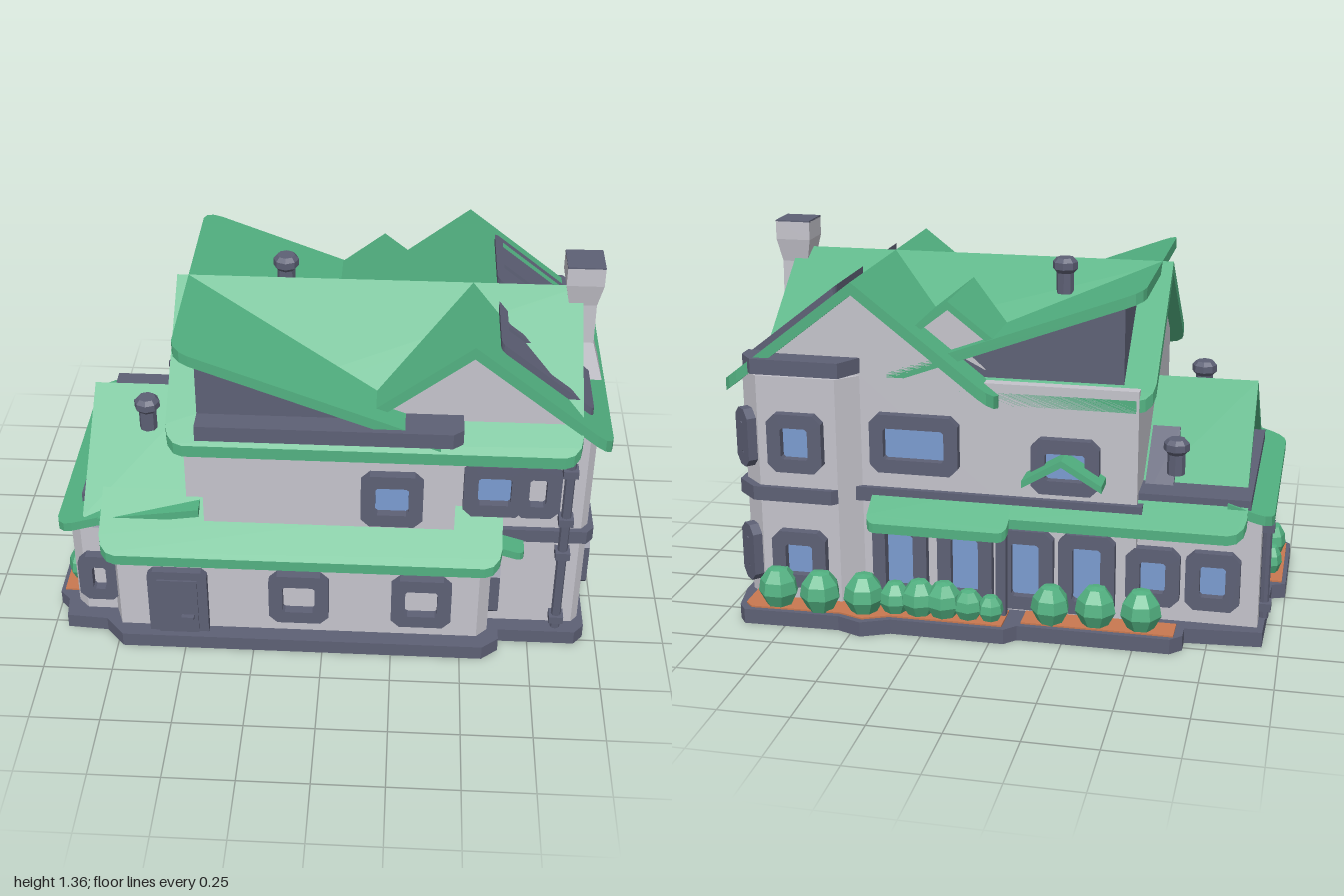
import * as THREE from 'three';

const mat = (name, color) => Object.assign(new THREE.MeshStandardMaterial({ color }), { name });

export function createModel() {
  const house = new THREE.Group();
  house.name = 'house';
  const green = mat('roof green', 0x52b181);
  const slate = mat('slate trim', 0x5d6075);
  const grey = mat('wall grey', 0xc4c3cb);
  const soil = mat('soil', 0xc87850);
  const glass = mat('glass', 0x7a9bd0);

  const add = (name, geo, m, x = 0, y = 0, z = 0, ry = 0) => {
    const g = geo.index ? geo.toNonIndexed() : geo;
    g.computeVertexNormals();
    const mesh = new THREE.Mesh(g, m);
    mesh.name = name;
    mesh.position.set(x, y, z);
    mesh.rotation.y = ry;
    house.add(mesh);
    return mesh;
  };
  const box = (name, m, x0, x1, y0, y1, z0, z1) =>
    add(name, new THREE.BoxGeometry(x1 - x0, y1 - y0, z1 - z0), m, (x0 + x1) / 2, (y0 + y1) / 2, (z0 + z1) / 2);
  const poly = (pts) => new THREE.Shape(pts.map(([a, b]) => new THREE.Vector2(a, b)));
  const extrude = (shape, depth) => new THREE.ExtrudeGeometry(shape, { depth, bevelEnabled: false });

  // Plan outline [x, z] raised between two heights
  const prism = (name, m, pts, y0, y1) =>
    add(name, extrude(poly(pts.map(([x, z]) => [x, -z])), y1 - y0).rotateX(-Math.PI / 2), m, 0, y0);

  // Rectangle whose corners (x0z0, x1z0, x1z1, x0z1) are cut by rounding radii
  const rect = (x0, x1, z0, z1, r = [0, 0, 0, 0]) => {
    const pts = [];
    [[x0, z0, 1, 1], [x1, z0, -1, 1], [x1, z1, -1, -1], [x0, z1, 1, -1]].forEach(([x, z, sx, sz], i) => {
      const n = r[i] ? 3 : 0;
      for (let k = 0; k <= n; k++) {
        const t = n ? (k / n) * Math.PI / 2 : 0;
        const a = i % 2 ? Math.sin(t) : Math.cos(t), b = i % 2 ? Math.cos(t) : Math.sin(t);
        // arc runs in outline order for both kinds of corner
        pts.push([x + sx * r[i] * (1 - (i % 2 ? a : 1 - b + 0) * 1) * (i % 2 ? 1 : 0)
          + (i % 2 ? 0 : sx * r[i] * (1 - Math.cos(t))), z + sz * r[i] * (i % 2 ? 1 - b : 1 - Math.sin(t))]);
      }
    });
    return pts;
  };

  // Sloped slab: plan outline sheared so its top follows y = f(x, z)
  const slab = (name, m, pts, f, t = 0.045, hole) => {
    const shape = poly(pts.map(([x, z]) => [x, -z]));
    if (hole) shape.holes.push(poly(hole.map(([x, z]) => [x, -z])));
    const g = extrude(shape, t).rotateX(-Math.PI / 2);
    const p = g.attributes.position;
    for (let i = 0; i < p.count; i++) p.setY(i, p.getY(i) - t + f(p.getX(i), p.getZ(i)));
    return add(name, g, m);
  };
  // Vertical profiles: frontal uses [x, y] along z, sideways uses [z, y] along x
  const frontal = (name, m, pts, z0, z1) => add(name, extrude(poly(pts), z1 - z0), m, 0, 0, z0);
  const sideways = (name, m, pts, x0, x1) =>
    add(name, extrude(poly(pts.map(([z, y]) => [-z, y])), x1 - x0).rotateY(Math.PI / 2), m, x0);

  // Base and planters
  prism('base', slate, [[-1, 0], [-1, 0.4], [-0.96, 0.44], [-0.95, 0.53], [-0.8, 0.54], [-0.73, 0.62], [0.58, 0.62],
    [0.64, 0.57], [0.64, 0.52], [0.92, 0.52], [0.955, 0.48], [0.955, -0.45], [0.93, -0.58], [0.9, -0.62], [0.55, -0.61],
    [0.46, -0.645], [0.36, -0.6], [-0.05, -0.6], [-0.09, -0.56], [-0.63, -0.56], [-0.67, -0.52], [-0.67, -0.46], [-0.94, -0.44], [-0.95, -0.02]], 0, 0.055);
  prism('soilBackA', soil, rect(-0.64, -0.1, -0.54, -0.44), 0.055, 0.061);
  prism('soilBackB', soil, [[-0.04, -0.45], [-0.04, -0.58], [0.37, -0.58], [0.46, -0.62], [0.55, -0.59], [0.88, -0.6], [0.91, -0.57], [0.91, -0.45]], 0.055, 0.061);
  prism('soilLeft', soil, rect(-0.985, -0.92, 0.01, 0.39), 0.055, 0.061);

  // Walls
  const main = [[-0.49, -0.43], [0.5, -0.43], [0.57, -0.5], [0.86, -0.5], [0.935, -0.43], [0.935, 0.43], [0.91, 0.46], [-0.49, 0.46]];
  prism('mainWalls', grey, main, 0.05, 0.9);
  prism('leftWing', grey, [[-0.92, -0.4], [-0.49, -0.4], [-0.49, 0.48], [-0.88, 0.48], [-0.92, 0.44]], 0.05, 0.46);
  prism('frontWing', grey, [[-0.8, 0.4], [-0.74, 0.56], [0.56, 0.56], [0.6, 0.52], [0.6, 0.4]], 0.05, 0.47);
  prism('upperFrontWall', grey, rect(-0.42, 0.46, 0.4, 0.53), 0.45, 0.92);
  const grow = (pts, k) => pts.map(([x, z]) => [x + Math.sign(x) * k, z + Math.sign(z) * k]);
  prism('floorBand', slate, grow(main, 0.02), 0.44, 0.492);
  prism('frontFloorBand', slate, rect(-0.43, 0.47, 0.4, 0.55), 0.46, 0.495);
  prism('frontCornice', slate, [[-0.43, 0.4], [-0.43, 0.58], [0.44, 0.58], [0.475, 0.55], [0.475, 0.4]], 0.905, 0.962);
  prism('bayCornice', slate, [[0.48, -0.4], [0.55, -0.52], [0.87, -0.52], [0.92, -0.46], [0.92, -0.4]], 0.91, 0.965);

  // Main roofs: cross gable, long gable and a lean-to
  const M = 0.78, R = 0.06;
  const cross = (x, z) => 1.25 - M * Math.abs(z - 0.06);
  const gable = (x) => 1.25 - M * Math.abs(x - 0.5);
  const shed = (x) => 1.25 - 0.37 * (x + 0.5);
  slab('crossRoofBack', green, rect(-0.54, 0.88, -0.43, 0.06, [R, R, 0, 0]), cross);
  slab('crossRoofFront', green, rect(-0.54, 0.88, 0.06, 0.555, [0, 0, R, R]), cross);
  slab('gableRoofRight', green, rect(0.5, 0.99, -0.5, 0.49, [0, R, R, 0]), gable);
  slab('gableRoofLeft', green, rect(0, 0.5, -0.5, 0.49, [R, 0, 0, R]), gable);
  slab('leanToRoof', green, rect(-0.5, 0.4, -0.43, 0.56, [R, 0, 0, R]), shed, 0.04);
  frontal('leanToWall', slate, [[-0.43, 0.9], [0.31, 0.9], [-0.43, 1.19]], -0.38, 0.5);
  frontal('gableWall', grey, [[0.09, 0.89], [0.91, 0.89], [0.5, 1.21]], -0.43, 0.46);
  sideways('crossGableWall', grey, [[-0.35, 0.89], [0.47, 0.89], [0.06, 1.21]], -0.49, 0.85);

  // Rear dormer
  const dormer = (x) => 1.18 - M * Math.abs(x - 0.18);
  slab('dormerLeft', green, rect(0.02, 0.18, -0.42, 0), dormer, 0.03);
  slab('dormerRight', green, rect(0.18, 0.32, -0.42, 0), dormer, 0.03);
  frontal('dormerWall', grey, [[0.04, 0.9], [0.32, 0.9], [0.32, 1.05], [0.18, 1.155], [0.04, 1.045]], -0.38, -0.05);

  // Skylights on the right slope
  for (const c of [-0.22, 0.22]) {
    slab('skylightFrame', slate, rect(0.59, 0.92, c - 0.17, c + 0.17, [0.02, 0.02, 0.02, 0.02]), (x) => gable(x) + 0.03, 0.03,
      rect(0.62, 0.89, c - 0.14, c + 0.14));
    slab('skylightPane', slate, rect(0.61, 0.9, c - 0.15, c + 0.15), (x) => gable(x) + 0.008, 0.008);
    slab('skylightBar', slate, rect(0.61, 0.9, c - 0.012, c + 0.012), (x) => gable(x) + 0.022, 0.02);
  }

  // Left wing roof with dark surround
  const wing = (x, z) => 0.81 - M * Math.abs(z - 0.1);
  slab('wingRoofBack', green, rect(-0.86, -0.45, -0.36, 0.1), wing, 0.035);
  slab('wingRoofFront', green, rect(-0.86, -0.45, 0.1, 0.5), wing, 0.035);
  sideways('wingGable', slate, [[-0.3, 0.45], [0.5, 0.45], [0.1, 0.78]], -0.83, -0.46);
  box('wingParapet', slate, -0.88, -0.49, 0.44, 0.525, -0.4, 0.4);
  slab('wingSkylight', slate, rect(-0.6, -0.5, -0.38, -0.1), (x, z) => wing(x, z) + 0.025, 0.03);

  // Eaves above the ground floor
  slab('frontEave', green, rect(-0.79, 0.63, 0.44, 0.64, [0, 0, R, R]), (x, z) => 0.545 - 0.75 * (z - 0.5), 0.04);
  slab('frontEaveReturn', green, rect(0.56, 0.71, 0.42, 0.56, [0, 0, 0.03, 0]), (x) => 0.49 - 0.3 * (x - 0.56), 0.03);
  slab('leftEave', green, rect(-0.96, -0.8, -0.41, 0.52, [R, 0, 0, R]), (x) => 0.465 + 0.3 * (x + 0.96), 0.035);
  slab('leftEaveFront', green, rect(-0.8, -0.44, 0.42, 0.53), (x) => 0.515 + 0.15 * (x + 0.8), 0.03);
  const backEave = (x, z) => 0.5 + 0.7 * (z + 0.4);
  slab('backEaveLeft', green, rect(-0.87, -0.05, -0.5, -0.38, [R, 0, 0, 0]), backEave, 0.035);
  slab('backEaveRight', green, rect(-0.05, 0.46, -0.55, -0.38, [0.03, 0.03, 0, 0]), backEave, 0.035);
  const canopy = (x) => 0.67 - 0.6 * Math.abs(x + 0.24);
  slab('canopyLeft', green, rect(-0.38, -0.24, -0.53, -0.42), canopy, 0.025);
  slab('canopyRight', green, rect(-0.24, -0.1, -0.53, -0.42), canopy, 0.025);

  // Octagonal window frames with thin panes
  const oct = (w, h, c) => [[-w + c, -h], [w - c, -h], [w, -h + c], [w, h - c], [w - c, h], [-w + c, h], [-w, h - c], [-w, -h + c]];
  const win = (x, y, z, ry, w = 0.215, h = 0.215, pane = glass) => {
    const s = poly(oct(w / 2, h / 2, 0.03));
    s.holes.push(poly(oct(w / 2 - 0.05, h / 2 - 0.05, 0.008)));
    add('windowFrame', extrude(s, 0.035), slate, x, y, z, ry);
    if (pane !== grey) add('windowPane', new THREE.BoxGeometry(w - 0.09, h - 0.09, 0.008), pane, x, y, z, ry);
  };
  const B = Math.PI;
  win(-0.085, 0.225, 0.56, 0, 0.215, 0.215, grey);
  win(0.355, 0.225, 0.56, 0, 0.215, 0.215, grey);
  win(0.6, 0.225, 0.475, B / 2, 0.09, 0.215, grey);
  win(-0.82, 0.225, 0.48, 0, 0.15, 0.2, grey);
  win(0.24, 0.66, 0.53, 0);
  win(0.595, 0.665, 0.46, 0);
  win(0.745, 0.665, 0.46, 0, 0.16, 0.215, grey);
  win(0.935, 0.22, 0.22, B / 2);
  for (const y of [0.225, 0.665]) {
    win(0.715, y, -0.5, B, 0.2);
    win(0.9, y, -0.465, B * 0.75, 0.1, 0.215, grey);
  }
  win(0.3, 0.665, -0.43, B, 0.32);
  win(-0.24, 0.62, -0.43, B, 0.24, 0.2);
  for (const x of [-0.76, -0.55]) win(x, 0.225, -0.4, B, 0.19);
  for (const x of [-0.32, -0.1, 0.12, 0.36]) win(x, 0.225, -0.43, B, 0.2, 0.3);
  for (const x of [-0.02, 0.42]) box('porchPost', slate, x - 0.018, x + 0.018, 0.05, 0.43, -0.5, -0.465);

  // Front door
  frontal('door', slate, [[-0.63, 0.05], [-0.415, 0.05], [-0.415, 0.31], [-0.435, 0.33], [-0.61, 0.33], [-0.63, 0.31]], 0.55, 0.59);
  frontal('doorPanel', slate, [[-0.595, 0.055], [-0.45, 0.055], [-0.45, 0.295], [-0.595, 0.295]], 0.59, 0.597);
  box('doorHandle', slate, -0.51, -0.465, 0.125, 0.14, 0.597, 0.615);

  // Downpipes and brackets
  for (const [x, z, top] of [[0.85, 0.485, 0.86], [-0.935, -0.3, 0.45]]) {
    add('downpipe', new THREE.CylinderGeometry(0.018, 0.018, top - 0.05, 8), slate, x, (top + 0.05) / 2, z);
    for (const y of [0.1, 0.4, 0.55, 0.76]) if (y < top) box('pipeBracket', slate, x - 0.026, x + 0.026, y - 0.015, y + 0.015, z - 0.03, z + 0.026);
  }

  // Turned parts: chimney, roof vents and bushes
  const lathe = (pts, n, a = 0) => new THREE.LatheGeometry(pts.map(([r, y]) => new THREE.Vector2(r, y)), n, a);
  const q = Math.SQRT2;
  add('chimney', lathe([[0, 0.91], [0.088 * q, 0.92], [0.05 * q, 1.05], [0.048 * q, 1.2], [0.065 * q, 1.285], [0.065 * q, 1.352], [0, 1.352]], 4, B / 4), grey, 0.88, 0, 0.062);
  box('chimneyTop', slate, 0.815, 0.945, 1.35, 1.357, -0.003, 0.127);
  const vent = [[0, -0.13], [0.032, -0.13], [0.032, -0.055], [0.046, -0.04], [0.046, -0.015], [0.032, 0], [0, 0]];
  for (const [x, y, z] of [[-0.165, 1.275, -0.06], [-0.605, 0.69, -0.27], [-0.65, 0.84, 0.23]]) add('roofVent', lathe(vent, 8), slate, x, y, z);
  const bush = [[0, 0], [0.045, 0], [0.074, 0.055], [0.066, 0.1], [0.036, 0.14], [0, 0.145]];
  const bushes = [[0.79, -0.55, 1], [0.63, -0.56, 1], [0.47, -0.55, 1], [0.36, -0.53, 0.8], [0.27, -0.53, 0.9], [0.18, -0.53, 0.9],
    [0.09, -0.53, 0.75], [0.01, -0.53, 0.65], [-0.2, -0.5, 0.95], [-0.36, -0.49, 1], [-0.52, -0.49, 1], [-0.94, 0.11, 0.75], [-0.94, 0.29, 0.85]];
  bushes.forEach(([x, z, s], i) => add('bush', lathe(bush, 7, i), green, x, 0.055, z).scale.set(x < -0.9 ? s * 0.7 : s, s, s));

  return house;
}
